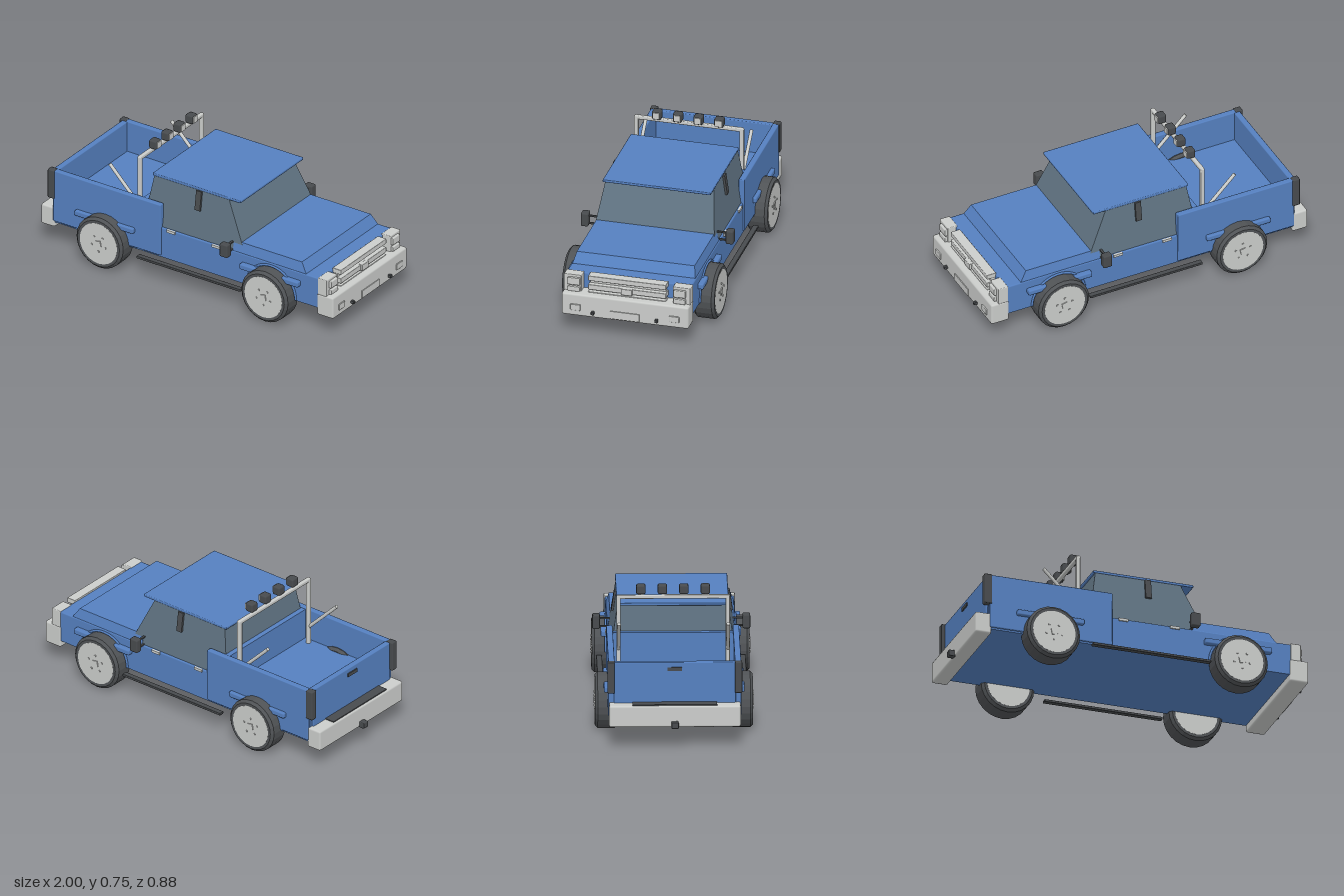
import * as THREE from 'three';
import { RoundedBoxGeometry } from 'three/addons/geometries/RoundedBoxGeometry.js';

export function createModel() {
  const truck = new THREE.Group();
  truck.name = 'pickupTruck';
  const mat = (name, color) => Object.assign(new THREE.MeshStandardMaterial({ color }), { name });
  const blue = mat('bodyBlue', 0x5580c0);
  const glass = mat('windowGlass', 0x607382);
  const silver = mat('lightGrey', 0xcbcdcb);
  const dark = mat('darkTrim', 0x484b4e);
  const rubber = mat('tyreRubber', 0x505356);

  const add = (name, geo, material, parent = truck) => {
    const m = new THREE.Mesh(geo, material);
    m.name = name;
    parent.add(m);
    return m;
  };
  // box from its limits, with optional softened edges
  const box = (name, material, [x0, x1], [y0, y1], [z0, z1], r = 0) => {
    const s = [x1 - x0, y1 - y0, z1 - z0];
    const geo = r ? new RoundedBoxGeometry(...s, 1, r) : new THREE.BoxGeometry(...s);
    const m = add(name, geo, material);
    m.position.set((x0 + x1) / 2, (y0 + y1) / 2, (z0 + z1) / 2);
    return m;
  };
  // same box on both sides of the truck
  const pair = (name, material, x, y, [z0, z1], r = 0) => [
    box(name + 'Near', material, x, y, [z0, z1], r),
    box(name + 'Far', material, x, y, [-z1, -z0], r),
  ];
  // block whose top rectangle differs from its bottom one: [x0, x1, halfZ]
  const taper = (name, material, y0, bottom, y1, top) => {
    const geo = new THREE.BoxGeometry(1, 1, 1);
    const p = geo.attributes.position;
    for (let i = 0; i < p.count; i++) {
      const up = p.getY(i) > 0;
      const [a, b, h] = up ? top : bottom;
      p.setXYZ(i, p.getX(i) > 0 ? b : a, up ? y1 : y0, Math.sign(p.getZ(i)) * h);
    }
    const flat = geo.toNonIndexed();
    flat.computeVertexNormals();
    return add(name, flat, material);
  };
  const rod = (name, material, from, to, r) => {
    const a = new THREE.Vector3(...from), b = new THREE.Vector3(...to);
    const d = b.clone().sub(a);
    const m = add(name, new THREE.CylinderGeometry(r, r, d.length(), 10), material);
    m.position.copy(a).add(b).multiplyScalar(0.5);
    m.quaternion.setFromUnitVectors(new THREE.Vector3(0, 1, 0), d.normalize());
    return m;
  };

  // body shell and hood
  box('lowerBody', blue, [-0.89, 0.88], [0.15, 0.29], [-0.355, 0.355]);
  box('upperBody', blue, [-0.3, 0.88], [0.28, 0.333], [-0.355, 0.355], 0.008);
  taper('hood', blue, 0.33, [0.3, 0.79, 0.35], 0.39, [0.3, 0.75, 0.335]);

  // open cargo bed
  pair('bedSide', blue, [-0.885, -0.17], [0.16, 0.475], [0.33, 0.365], 0.006);
  box('tailgate', blue, [-0.9, -0.865], [0.16, 0.473], [-0.335, 0.335], 0.006);
  box('bedFrontWall', blue, [-0.305, -0.275], [0.28, 0.47], [-0.335, 0.335]);
  box('tailgateHandle', dark, [-0.907, -0.898], [0.425, 0.445], [-0.04, 0.04]);

  // cab
  taper('cabGlass', glass, 0.33, [-0.295, 0.378, 0.345], 0.614, [-0.25, 0.245, 0.305]);
  box('roof', blue, [-0.262, 0.322], [0.61, 0.626], [-0.308, 0.308], 0.005);
  pair('windowPillar', dark, [0.035, 0.07], [0.495, 0.61], [0.312, 0.326])
    .forEach((m, i) => { m.rotation.x = (i ? 1 : -1) * 0.14; });
  for (const x of [-0.105, 0.195])
    pair('doorHandle', silver, [x - 0.027, x + 0.027], [0.318, 0.333], [0.35, 0.363]);

  // mirrors on twin stalks
  pair('mirror', dark, [0.267, 0.32], [0.322, 0.402], [0.391, 0.434], 0.008);
  for (const y of [0.335, 0.38])
    pair('mirrorStalk', dark, [0.286, 0.298], [y - 0.004, y + 0.004], [0.325, 0.395]);

  // running boards
  pair('runningBoard', dark, [-0.3, 0.39], [0.125, 0.14], [0.378, 0.41], 0.004);

  // roll bar with braces and a row of lamps
  const bar = 0.3;
  pair('rollBarPost', silver, [-0.362, -0.338], [0.28, 0.698], [bar - 0.012, bar + 0.012], 0.006);
  box('rollBarTop', silver, [-0.362, -0.338], [0.678, 0.7], [-bar - 0.01, bar + 0.01], 0.006);
  for (const s of [-1, 1])
    rod('rollBarBrace', silver, [-0.55, 0.59, s * bar], [-0.352, 0.39, s * bar], 0.01);
  for (const z of [-0.177, -0.059, 0.059, 0.177]) {
    box('roofLamp', dark, [-0.36, -0.31], [0.702, 0.755], [z - 0.026, z + 0.026], 0.01);
    box('roofLampLens', silver, [-0.312, -0.305], [0.71, 0.747], [z - 0.019, z + 0.019]);
  }

  // front bumper and its fittings
  box('frontBumper', silver, [0.865, 0.975], [0.11, 0.242], [-0.362, 0.362], 0.012);
  box('frontPlate', silver, [0.97, 0.98], [0.122, 0.166], [-0.083, 0.083]);
  pair('fogLamp', silver, [0.97, 0.982], [0.145, 0.182], [0.252, 0.31], 0.004);
  pair('towHook', dark, [0.97, 0.995], [0.134, 0.152], [0.172, 0.19], 0.004);

  // grille and headlights
  box('grillePanel', silver, [0.875, 0.905], [0.235, 0.335], [-0.215, 0.215]);
  for (const [y0, y1] of [[0.312, 0.342], [0.258, 0.29], [0.235, 0.246]])
    box('grilleBar', silver, [0.875, 0.932], [y0, y1], [-0.222, 0.222], 0.004);
  box('grilleBlock', silver, [0.92, 0.945], [0.255, 0.293], [-0.032, 0.032], 0.004);
  pair('headlightFrame', silver, [0.87, 0.93], [0.235, 0.338], [0.26, 0.36], 0.005);
  for (const [y0, y1] of [[0.281, 0.324], [0.242, 0.271]])
    pair('headlight', silver, [0.92, 0.945], [y0, y1], [0.266, 0.336], 0.005);

  // rear bumper, step pad, hitch and tail lamps
  box('rearBumper', silver, [-0.968, -0.875], [0.12, 0.243], [-0.362, 0.362], 0.012);
  box('stepPad', dark, [-0.958, -0.898], [0.24, 0.248], [-0.232, 0.232]);
  box('hitch', dark, [-1, -0.96], [0.12, 0.156], [-0.02, 0.02], 0.005);
  pair('tailLamp', dark, [-0.918, -0.873], [0.3, 0.477], [0.33, 0.37], 0.006);

  // wheels, fender strips and arch lips
  const tyreProfile = [[0.115, -0.06], [0.14, -0.0615], [0.155, -0.047], [0.155, 0.047], [0.14, 0.0615], [0.115, 0.06]]
    .map(([r, y]) => new THREE.Vector2(r, y));
  const tyreGeo = new THREE.LatheGeometry(tyreProfile, 24).toNonIndexed();
  tyreGeo.computeVertexNormals();
  const hubGeo = new THREE.CylinderGeometry(0.124, 0.124, 0.123, 24);
  const archGeo = new THREE.TorusGeometry(0.163, 0.007, 6, 24, Math.PI);
  for (const x of [-0.535, 0.56]) {
    pair('fenderStrip', blue, [x - 0.195, x + 0.195], [0.25, 0.283], [0.345, 0.386], 0.008);
    for (const s of [-1, 1]) {
      add('archLip', archGeo, blue).position.set(x, 0.155, s * 0.357);
      const wheel = new THREE.Group();
      wheel.name = 'wheel';
      wheel.position.set(x, 0.155, s * 0.372);
      wheel.rotation.x = s * Math.PI / 2;
      truck.add(wheel);
      add('tyre', tyreGeo, rubber, wheel);
      add('hub', hubGeo, silver, wheel);
      const cap = add('hubCap', new THREE.BoxGeometry(0.034, 0.008, 0.034), silver, wheel);
      cap.position.y = 0.063;
      cap.rotation.y = 0.2;
      for (let i = 0; i < 5; i++) {
        const a = i * Math.PI * 0.4 + 0.3;
        add('wheelBolt', new THREE.CylinderGeometry(0.006, 0.006, 0.008, 6), silver, wheel)
          .position.set(Math.cos(a) * 0.048, 0.063, Math.sin(a) * 0.048);
      }
    }
  }
  return truck;
}
